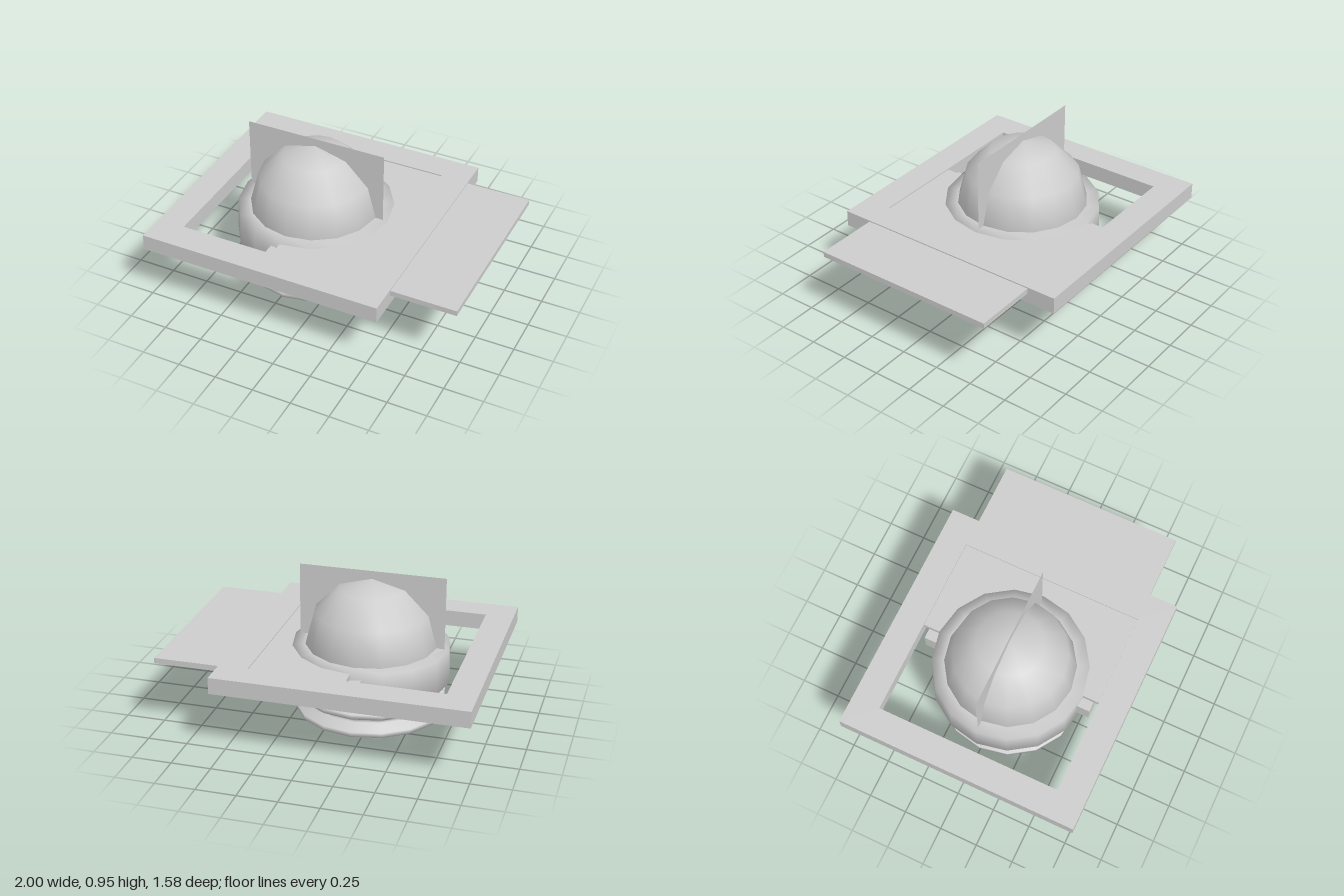
import * as THREE from 'three';

export function createModel() {
  const model = new THREE.Group();
  model.name = 'threadedDomeWithSlide';

  const grey = new THREE.MeshStandardMaterial({ color: 0xcccccc });
  grey.name = 'plain grey';
  const greyOpen = new THREE.MeshStandardMaterial({ color: 0xcccccc, side: THREE.DoubleSide });
  greyOpen.name = 'plain grey open';

  const CX = -0.21; // axis of the round parts
  const SIDES = 16;

  function add(name, geometry, material = grey) {
    const mesh = new THREE.Mesh(geometry, material);
    mesh.name = name;
    model.add(mesh);
    return mesh;
  }

  // box given by its limits on each axis
  function box(name, x0, x1, y0, y1, z0, z1) {
    const mesh = add(name, new THREE.BoxGeometry(x1 - x0, y1 - y0, z1 - z0));
    mesh.position.set((x0 + x1) / 2, (y0 + y1) / 2, (z0 + z1) / 2);
  }

  function lathe(name, points) {
    const profile = points.map(([r, y]) => new THREE.Vector2(r, y));
    add(name, new THREE.LatheGeometry(profile, SIDES), greyOpen).position.x = CX;
  }

  // rectangular frame with a square opening
  const outline = new THREE.Shape();
  outline.moveTo(-1, -0.79).lineTo(0.58, -0.79).lineTo(0.58, 0.79).lineTo(-1, 0.79).closePath();
  const opening = new THREE.Path();
  opening.moveTo(-0.82, -0.605).lineTo(-0.82, 0.605).lineTo(0.395, 0.605).lineTo(0.395, -0.605).closePath();
  outline.holes.push(opening);
  const frame = new THREE.ExtrudeGeometry(outline, { depth: 0.105, bevelEnabled: false });
  frame.rotateX(-Math.PI / 2);
  add('frame', frame).position.y = 0.38;

  // sliding plate and the ribs below it
  box('slidePlate', CX, 1, 0.443, 0.478, -0.604, 0.604);
  for (let i = -2; i <= 2; i++) {
    box('slideRib', -0.17, 0.96, 0.403, 0.443, i * 0.24 - 0.032, i * 0.24 + 0.032);
  }

  // neck with two rounded threads, open at the bottom
  const neck = [[0.39, 0]];
  for (const y of [0.063, 0.182]) {
    neck.push([0.395, y - 0.046], [0.475, y - 0.015], [0.475, y + 0.015], [0.395, y + 0.046]);
  }
  neck.push([0.39, 0.265]);
  lathe('threadedNeck', neck);

  // collar
  lathe('collar', [[0.39, 0.265], [0.505, 0.265], [0.495, 0.482], [0.41, 0.484]]);

  // side lugs on the collar
  for (const s of [-1, 1]) {
    box('collarLug', CX - 0.065, CX + 0.065, 0.31, 0.44, s * 0.505 - 0.065, s * 0.505 + 0.065);
  }

  // low-sided dome
  const dome = new THREE.SphereGeometry(0.415, SIDES, 3, 0, Math.PI * 2, 0, Math.PI / 2);
  add('dome', dome, greyOpen).position.set(CX, 0.484, 0);

  // upright flat sheet through the axis
  add('uprightSheet', new THREE.PlaneGeometry(0.93, 0.93), greyOpen).position.set(CX, 0.485, 0);

  return model;
}
